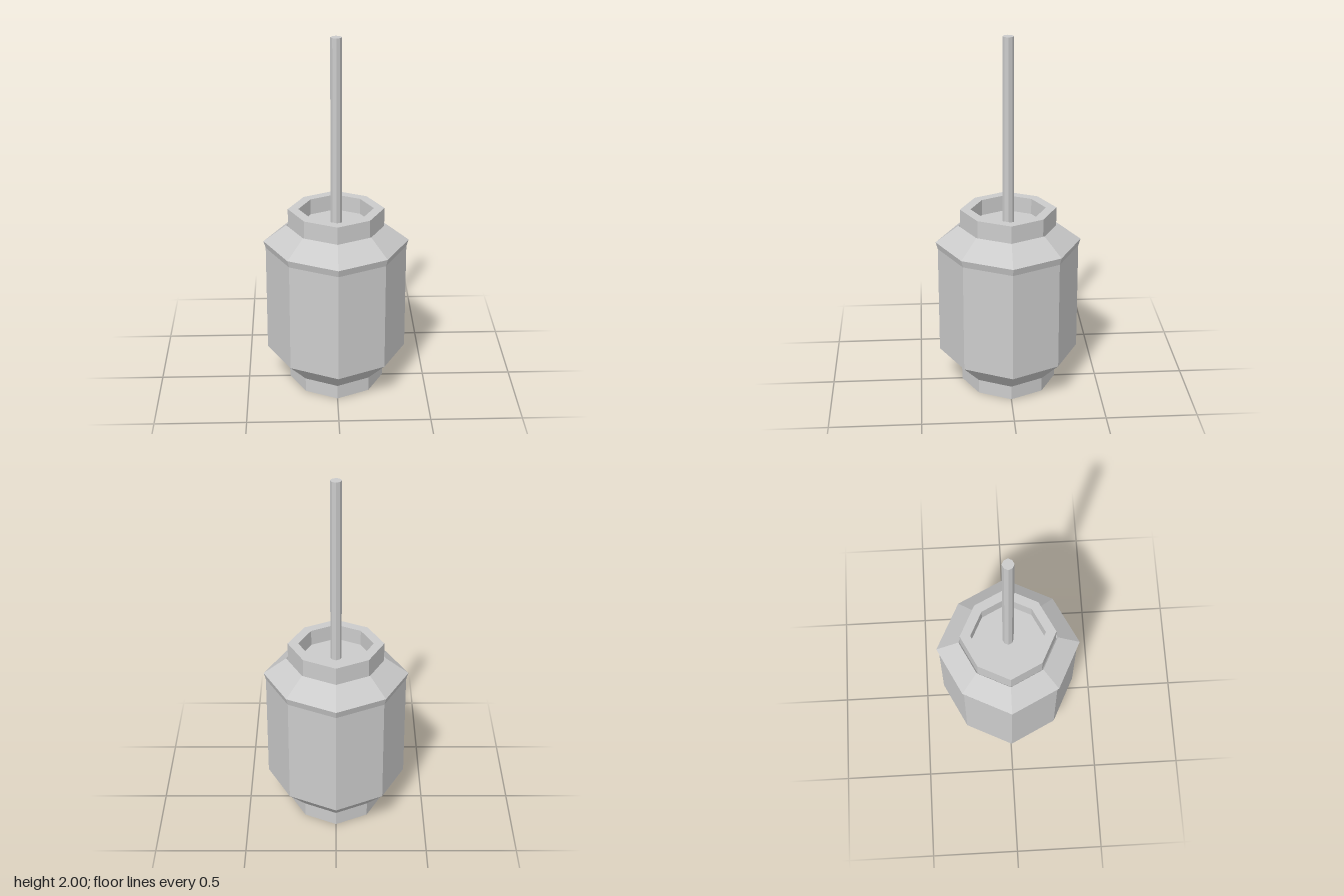
import * as THREE from 'three';

const material = new THREE.MeshStandardMaterial({ color: 0xcccccc, flatShading: true });

// Eight-sided turned part; the diagonal corners are pulled in slightly.
function turned(name, profile) {
  const geometry = new THREE.LatheGeometry(profile.map(([r, y]) => new THREE.Vector2(r, y)), 8);
  const pos = geometry.attributes.position;
  for (let i = 0; i < pos.count; i++) {
    const x = pos.getX(i), z = pos.getZ(i);
    if (Math.min(Math.abs(x), Math.abs(z)) > 1e-4) {
      pos.setX(i, x * 0.943);
      pos.setZ(i, z * 0.943);
    }
  }
  geometry.computeVertexNormals();
  const mesh = new THREE.Mesh(geometry, material);
  mesh.name = name;
  return mesh;
}

export function createModel() {
  const group = new THREE.Group();
  group.name = 'canister';
  group.add(
    // foot ring with a recessed underside
    turned('footRing', [[0, 0.07], [0.205, 0.07], [0.205, 0], [0.265, 0], [0.265, 0.08]]),
    // tapered bottom, straight wall, flared rim and sloping shoulder with a small inner lip
    turned('body', [[0.265, 0.08], [0.39, 0.195], [0.39, 0.81], [0.402, 0.85], [0.275, 0.945], [0.265, 0.92]]),
    // neck ring with a recessed floor
    turned('neckRing', [[0.265, 0.92], [0.265, 1.04], [0.207, 1.04], [0.207, 0.95], [0, 0.95]]),
    // tall central rod
    turned('rod', [[0.031, 0.95], [0.031, 2], [0, 2]])
  );
  return group;
}
